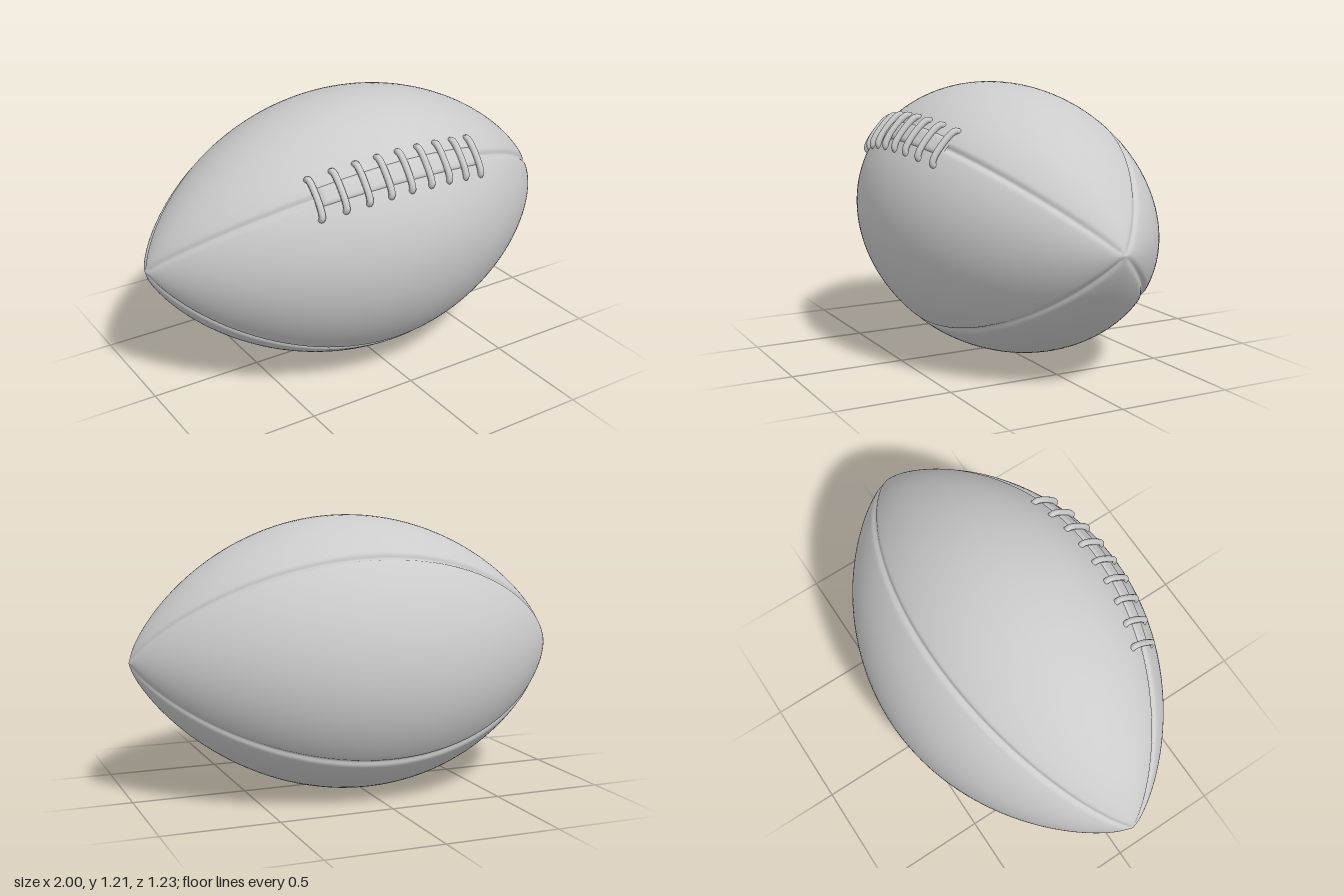
import * as THREE from 'three';
import { ParametricGeometry } from 'three/addons/geometries/ParametricGeometry.js';

const CENTRE_Y = 0.612;
const TILT = THREE.MathUtils.degToRad(40); // roll that brings the laced seam to the upper front

// Point on the ball: u runs tip to tip (x = sin u), a is the angle from the laced seam
function ballPoint(u, a, lift, target) {
  const f = Math.pow(Math.cos(u), 1.5);
  const r = 0.635 * 0.585 / Math.hypot(0.585 * Math.cos(a), 0.635 * Math.sin(a)) * f + lift;
  return target.set(Math.sin(u), CENTRE_Y + r * Math.sin(a + TILT), r * Math.cos(a + TILT));
}

// Depth of the seam groove, which repeats every quarter turn
function groove(u, a) {
  const r = 0.61 * Math.pow(Math.cos(u), 1.5);
  const quarter = Math.PI / 2;
  const d = Math.abs(a - Math.round(a / quarter) * quarter) * r;
  return -Math.min(0.013, 0.35 * r) * Math.exp(-((d / 0.014) ** 2));
}

export function createModel() {
  const group = new THREE.Group();
  const material = new THREE.MeshStandardMaterial({ color: 0xcccccc, roughness: 0.7 });
  const add = (name, geometry, parent = group) => {
    const mesh = new THREE.Mesh(geometry, material);
    mesh.name = name;
    parent.add(mesh);
  };

  // Four-panel body, with samples gathered towards the seams
  const tip = Math.PI / 2 - 0.002;
  add('ballBody', new ParametricGeometry((s, t, p) => {
    const u = (s * 2 - 1) * tip;
    const q = t * Math.PI * 2;
    const a = q - 0.88 * Math.sin(4 * q) / 4;
    ballPoint(u, a, groove(u, a), p);
  }, 100, 192));

  // Raised band under the laces, sinking into the body at its edges
  const from = Math.asin(-0.43), to = Math.asin(0.35);
  add('laceBand', new ParametricGeometry((s, t, p) => {
    const w = t * 2 - 1;
    const ends = Math.min(1, 30 * Math.min(s, 1 - s));
    const lift = -0.004 + 0.013 * ends * (1 - w ** 6);
    ballPoint(from + (to - from) * s, w * 0.075, lift, p);
  }, 60, 16));

  // Nine cross laces with ends tucked into the leather
  const laces = new THREE.Group();
  laces.name = 'laces';
  group.add(laces);
  const stops = [[-0.138, -0.014], [-0.132, 0.006], [-0.1, 0.014], [0, 0.016],
    [0.1, 0.014], [0.132, 0.006], [0.138, -0.014]];
  for (let i = 0; i < 9; i++) {
    const u = Math.asin(-0.43 + i * 0.0965);
    const spread = 1 / Math.pow(Math.cos(u), 1.5);
    const points = stops.map(([a, lift]) => ballPoint(u, a * spread, lift, new THREE.Vector3()));
    add('crossLace', new THREE.TubeGeometry(new THREE.CatmullRomCurve3(points), 28, 0.014, 10), laces);
  }

  return group;
}
